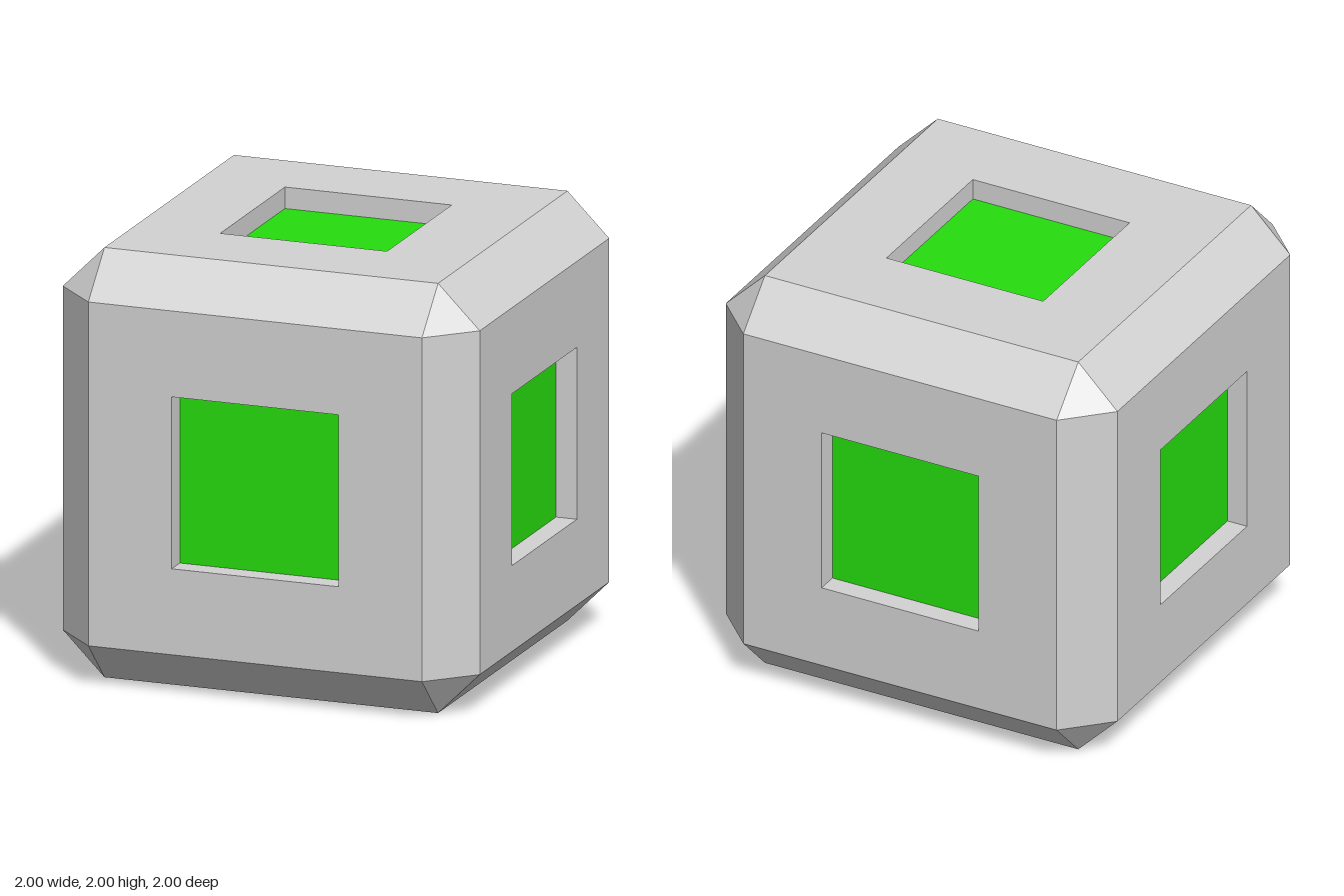
import * as THREE from 'three';
import { mergeGeometries } from 'three/addons/utils/BufferGeometryUtils.js';

const OUT = 1;      // half size of the cube
const FLAT = 0.8;   // half size of each flat face
const HOLE = 0.4;   // half size of each recess
const DEPTH = 0.1;  // recess depth
const Q = Math.PI / 2;

// rotations that carry the +z side to each side of the cube
const SIDES = {
  front: [0, 0], left: [0, Q], back: [0, 2 * Q], right: [0, -Q], top: [-Q, 0], bottom: [Q, 0],
};

function square(half, Type) {
  const p = new Type();
  p.moveTo(-half, -half).lineTo(half, -half).lineTo(half, half).lineTo(-half, half).closePath();
  return p;
}

// flat frame with a square opening and the four walls of the recess
function frameGeometry() {
  const shape = square(FLAT, THREE.Shape);
  shape.holes.push(square(HOLE, THREE.Path));
  const parts = [new THREE.ShapeGeometry(shape).translate(0, 0, OUT)];
  for (let k = 0; k < 4; k++) {
    parts.push(new THREE.PlaneGeometry(DEPTH, 2 * HOLE)
      .rotateY(-Q).translate(HOLE, 0, OUT - DEPTH / 2).rotateZ(k * Q));
  }
  return mergeGeometries(parts);
}

// twelve bevelled edges, four along each axis
function edgeGeometry() {
  const parts = [];
  const mid = (OUT + FLAT) / 2;
  for (const turn of ['none', 'rotateX', 'rotateZ']) {
    for (let k = 0; k < 4; k++) {
      const g = new THREE.PlaneGeometry((OUT - FLAT) * Math.SQRT2, 2 * FLAT)
        .rotateY(Q / 2).translate(mid, 0, mid).rotateY(k * Q);
      if (turn !== 'none') g[turn](Q);
      parts.push(g);
    }
  }
  return mergeGeometries(parts);
}

// eight triangular corners
function cornerGeometry() {
  const points = [];
  for (const x of [-1, 1]) for (const y of [-1, 1]) for (const z of [-1, 1]) {
    const a = [x * OUT, y * FLAT, z * FLAT];
    const b = [x * FLAT, y * OUT, z * FLAT];
    const c = [x * FLAT, y * FLAT, z * OUT];
    points.push(...a, ...(x * y * z > 0 ? [...b, ...c] : [...c, ...b]));
  }
  const g = new THREE.BufferGeometry();
  g.setAttribute('position', new THREE.Float32BufferAttribute(points, 3));
  g.computeVertexNormals();
  return g;
}

export function createModel() {
  const grey = new THREE.MeshStandardMaterial({ name: 'lightGrey', color: 0xd3d3d3 });
  const green = new THREE.MeshStandardMaterial({ name: 'brightGreen', color: 0x26dd0e });

  const model = new THREE.Group();
  model.name = 'bevelledCube';
  const add = (parent, name, geometry, material) => {
    const mesh = new THREE.Mesh(geometry, material);
    mesh.name = name;
    parent.add(mesh);
  };

  // six sides, each a grey frame around a sunken green panel
  const frame = frameGeometry();
  const panel = new THREE.PlaneGeometry(2 * HOLE, 2 * HOLE).translate(0, 0, OUT - DEPTH);
  for (const [name, [rx, ry]] of Object.entries(SIDES)) {
    const side = new THREE.Group();
    side.name = name + 'Side';
    side.position.y = OUT;
    side.rotation.set(rx, ry, 0);
    add(side, name + 'Frame', frame, grey);
    add(side, name + 'Panel', panel, green);
    model.add(side);
  }

  add(model, 'bevelledEdges', edgeGeometry().translate(0, OUT, 0), grey);
  add(model, 'corners', cornerGeometry().translate(0, OUT, 0), grey);
  return model;
}
